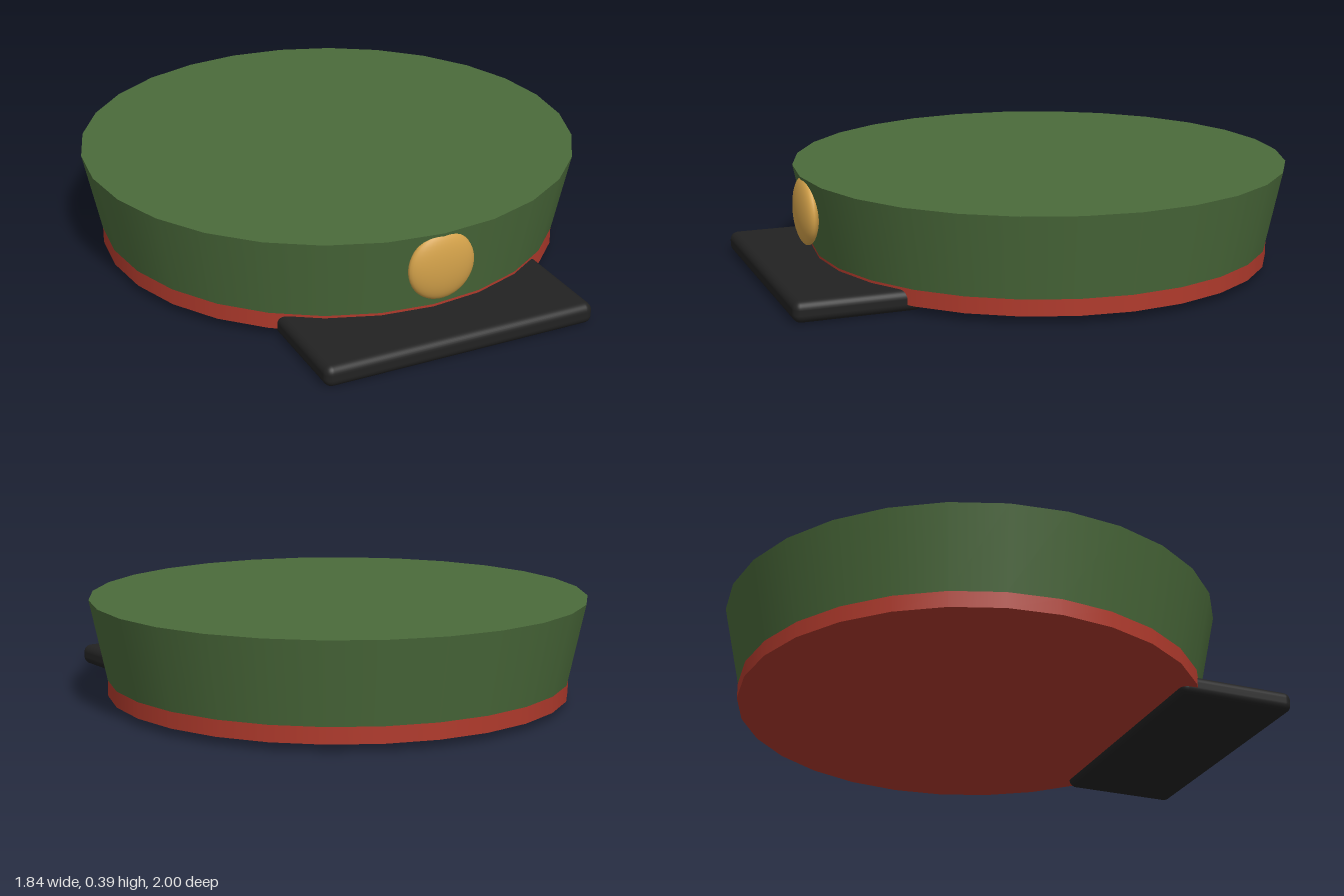
import * as THREE from 'three';
import { RoundedBoxGeometry } from 'three/addons/geometries/RoundedBoxGeometry.js';

const material = (name, color) => {
  const m = new THREE.MeshStandardMaterial({ color });
  m.name = name;
  return m;
};

export function createModel() {
  const group = new THREE.Group();
  group.name = 'peakedCap';

  const add = (name, geometry, mat, x, y, z) => {
    const mesh = new THREE.Mesh(geometry, mat);
    mesh.name = name;
    mesh.position.set(x, y, z);
    group.add(mesh);
    return mesh;
  };

  const SIDES = 28;
  const CAP_Z = -0.08;

  // Crown, flaring outwards to a flat top
  add('crown', new THREE.CylinderGeometry(0.92, 0.857, 0.3, SIDES),
    material('green cloth', 0x4b6b3b), 0, 0.237, CAP_Z);

  // Straight band below the crown
  add('band', new THREE.CylinderGeometry(0.857, 0.857, 0.06, SIDES),
    material('red band', 0xb03a2c), 0, 0.058, CAP_Z);

  // Flat peak with rounded edges, tucked under the band
  add('peak', new RoundedBoxGeometry(1.02, 0.078, 0.455, 4, 0.03),
    material('black peak', 0x222222), 0, 0.039, 0.7725);

  // Flattened round badge, partly sunk into the crown
  const badge = add('badge', new THREE.SphereGeometry(0.125, 32, 20),
    material('gold badge', 0xd4a24a), 0, 0.26, 0.823);
  badge.scale.z = 0.3;

  return group;
}
